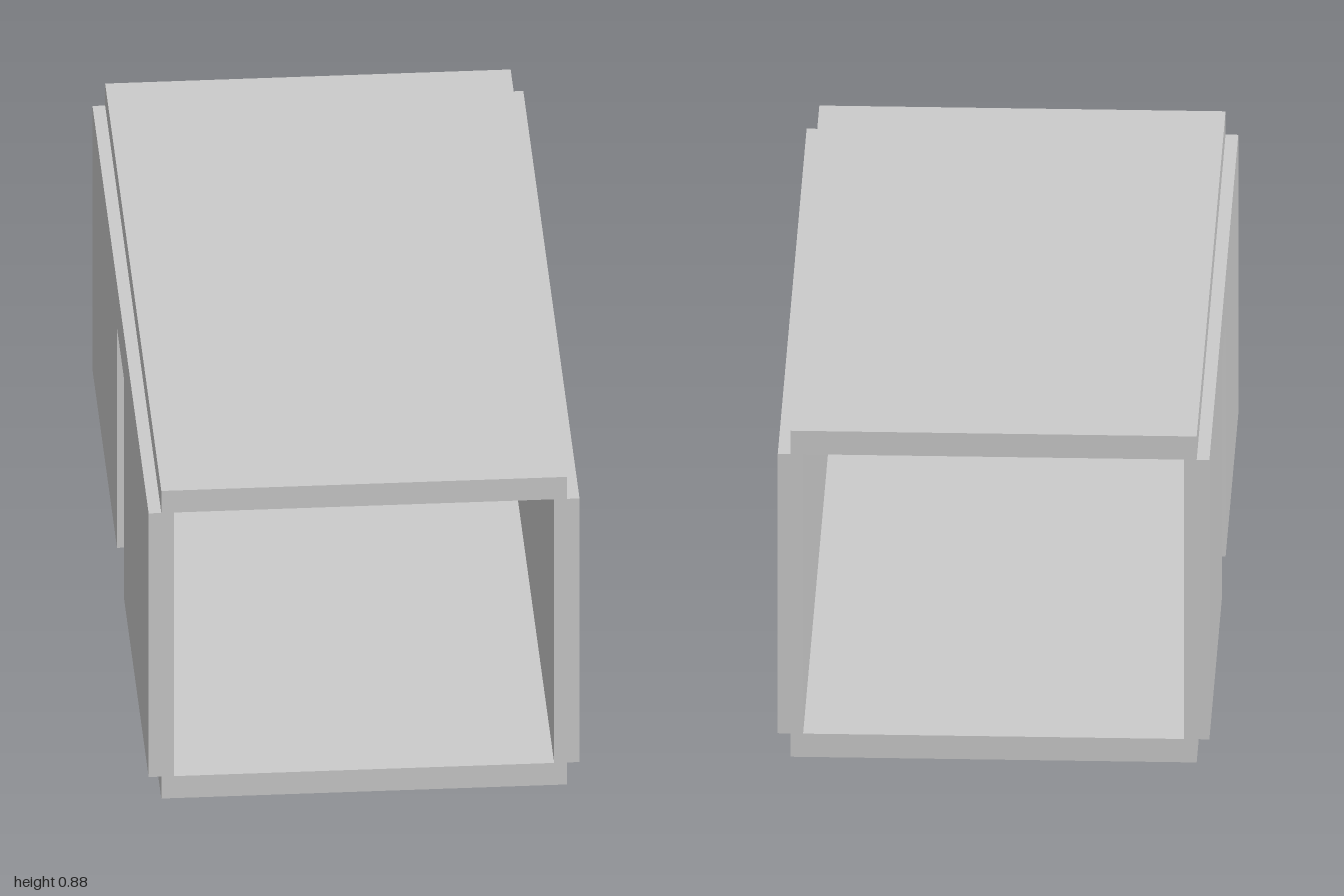
import * as THREE from 'three';

const T = 0.0625;            // panel thickness
const LENGTH = 2, WIDTH = 1; // floor and roof size
const WALL_H = 0.75;         // wall height between floor and roof
const DOOR_W = 0.25, DOOR_H = 0.625;

export function createModel() {
  const group = new THREE.Group();
  const material = new THREE.MeshStandardMaterial({ color: 0xcccccc, flatShading: true });

  const add = (name, geometry, x, y) => {
    const mesh = new THREE.Mesh(geometry, material);
    mesh.name = name;
    mesh.position.set(x, y, 0);
    group.add(mesh);
  };

  // Floor and roof slabs
  const slab = new THREE.BoxGeometry(WIDTH, T, LENGTH);
  add('floor', slab, 0, T / 2);
  add('roof', slab, 0, T + WALL_H + T / 2);

  // Solid wall, centred on the edge of the slabs
  add('leftWall', new THREE.BoxGeometry(T, WALL_H, LENGTH), WIDTH / 2, T + WALL_H / 2);

  // Opposite wall with a doorway open down to the floor
  const outline = new THREE.Shape([
    [-LENGTH / 2, 0], [-DOOR_W / 2, 0], [-DOOR_W / 2, DOOR_H], [DOOR_W / 2, DOOR_H],
    [DOOR_W / 2, 0], [LENGTH / 2, 0], [LENGTH / 2, WALL_H], [-LENGTH / 2, WALL_H],
  ].map(([z, y]) => new THREE.Vector2(z, y)));
  const doorWall = new THREE.ExtrudeGeometry(outline, { depth: T, bevelEnabled: false });
  doorWall.translate(0, 0, -T / 2).rotateY(-Math.PI / 2);
  add('rightWallWithDoorway', doorWall, -WIDTH / 2, T);

  return group;
}
